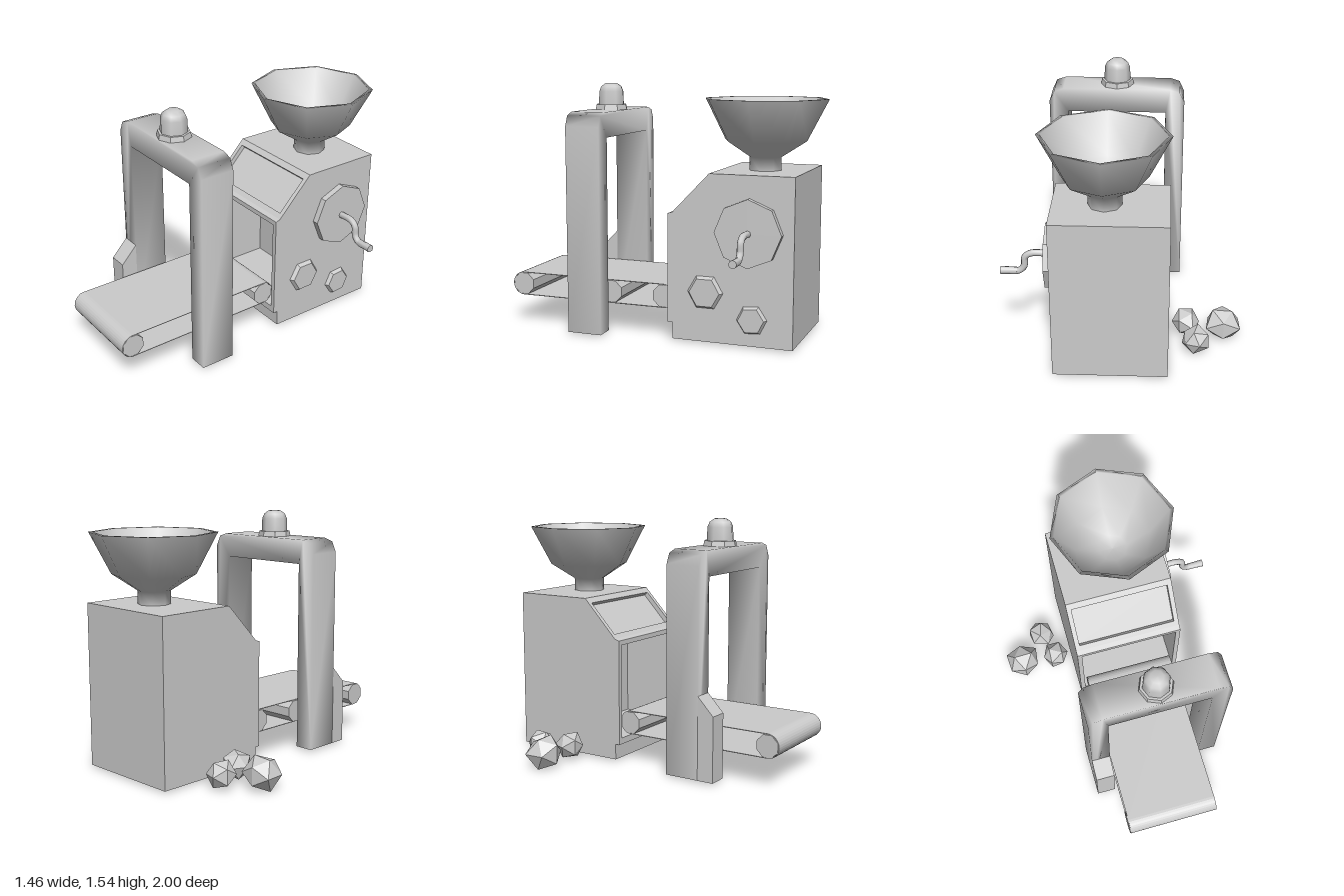
import * as THREE from 'three';
import { mergeVertices } from 'three/addons/utils/BufferGeometryUtils.js';

export function createModel() {
  const model = new THREE.Group();
  const smoothMat = new THREE.MeshStandardMaterial({ color: 0xcccccc, side: THREE.DoubleSide });
  const flatMat = new THREE.MeshStandardMaterial({ color: 0xcccccc, flatShading: true });

  const add = (name, geometry, x = 0, y = 0, z = 0, material = smoothMat) => {
    const mesh = new THREE.Mesh(geometry, material);
    mesh.name = name;
    mesh.position.set(x, y, z);
    model.add(mesh);
    return mesh;
  };
  const shapeOf = (pts) => new THREE.Shape(pts.map(([a, b]) => new THREE.Vector2(a, b)));
  const extrude = (shape, depth) =>
    new THREE.ExtrudeGeometry(shape, { depth, bevelEnabled: false, curveSegments: 8 });
  // Side profile given as [z, y], extruded from x0 to x1
  const sideways = (pts, x0, x1) =>
    extrude(shapeOf(pts.map(([z, y]) => [-z, y])), x1 - x0).rotateY(Math.PI / 2).translate(x0, 0, 0);
  const smooth = (g) => {
    g.deleteAttribute('normal');
    g.deleteAttribute('uv');
    const merged = mergeVertices(g);
    merged.computeVertexNormals();
    return merged;
  };
  const lathe = (pts) => new THREE.LatheGeometry(pts.map(([r, y]) => new THREE.Vector2(r, y)), 8);

  // Machine housing: two cheeks around a core with a deep mouth and a sloped recess
  const top = [[-0.36, 1.04], [-0.88, 1.04], [-0.88, 0.02]];
  const lip = [[-0.13, 0.02], [-0.13, 0.12], [-0.10, 0.12]];
  const cheek = [...lip, [-0.10, 0.79], [-0.13, 0.80], ...top];
  const core = [
    ...lip, [-0.10, 0.16], [-0.50, 0.16], [-0.50, 0.76], [-0.10, 0.76], [-0.10, 0.79], [-0.13, 0.80],
    [-0.154, 0.825], [-0.176, 0.804], [-0.353, 0.989], [-0.331, 1.01], ...top,
  ];
  add('housingCore', sideways(core, -0.25, 0.38));
  add('housingRightCheek', sideways(cheek, -0.28, -0.25));
  add('housingLeftCheek', sideways(cheek, 0.38, 0.41));

  // Funnel with a thin rim and a neck
  add('funnel', lathe([
    [0.10, 1.03], [0.10, 1.12], [0.255, 1.22], [0.385, 1.47], [0.36, 1.47], [0.24, 1.24], [0.09, 1.14], [0, 1.13],
  ]), 0.10, 0, -0.615);

  // Crank wheel, handle and hexagonal bolts on the side
  const sideDisc = (name, rOuter, rInner, depth, sides, y, z, turn) =>
    add(name, new THREE.CylinderGeometry(rOuter, rInner, depth, sides)
      .rotateY(turn).rotateZ(-Math.PI / 2), 0.41 + depth / 2, y, z, flatMat);
  sideDisc('crankWheel', 0.205, 0.205, 0.04, 8, 0.70, -0.61, 0);
  sideDisc('frontBolt', 0.095, 0.112, 0.024, 6, 0.325, -0.34, 0);
  sideDisc('rearBolt', 0.08, 0.094, 0.024, 6, 0.18, -0.63, 0.06);
  const crankPath = new THREE.CatmullRomCurve3([
    [0.43, 0.70], [0.54, 0.70], [0.578, 0.675], [0.588, 0.61], [0.62, 0.578], [0.73, 0.578],
  ].map(([x, y]) => new THREE.Vector3(x, y, -0.61)), false, 'centripetal');
  add('crankHandle', new THREE.TubeGeometry(crankPath, 24, 0.021, 8));
  add('crankEnd', new THREE.CylinderGeometry(0.025, 0.021, 0.1, 8).rotateZ(-Math.PI / 2), 0.68, 0.578, -0.61);

  // Arch over the conveyor, with clipped outer corners
  const arch = shapeOf([
    [-0.36, 0.02], [-0.24, 0.02], [-0.24, 1.23], [0.39, 1.23], [0.39, 0.02], [0.51, 0.02],
    [0.51, 1.30], [0.48, 1.365], [0.42, 1.385], [-0.27, 1.385], [-0.33, 1.365], [-0.36, 1.30],
  ]);
  add('arch', smooth(extrude(arch, 0.22)), 0, 0, 0.305);
  add('archControlBox', sideways([[0.525, 0.02], [0.63, 0.02], [0.63, 0.425], [0.525, 0.535]], -0.36, -0.24));

  // Signal lamp on the arch
  add('lampBase', new THREE.CylinderGeometry(0.10, 0.107, 0.035, 8), 0.075, 1.4, 0.415, flatMat);
  add('lampDome', lathe([[0.085, 1.41], [0.081, 1.50], [0.068, 1.53], [0.04, 1.55], [0, 1.552]]), 0.075, 0, 0.415);

  // Conveyor belt: a thin open-sided loop around its rollers
  const loop = (target, r) => {
    target.absarc(-0.92, 0.264, r, Math.PI * 1.5, Math.PI * 0.5, true);
    target.absarc(0.05, 0.264, r, Math.PI * 0.5, -Math.PI * 0.5, true);
    target.closePath();
    return target;
  };
  const beltShape = loop(new THREE.Shape(), 0.075);
  beltShape.holes.push(loop(new THREE.Path(), 0.071));
  add('conveyorBelt', extrude(beltShape, 0.585).rotateY(Math.PI / 2), -0.228, 0, 0);
  for (const z of [0.92, 0.30, -0.05]) {
    add('conveyorRoller', new THREE.CylinderGeometry(0.074, 0.074, 0.59, 8)
      .rotateY(Math.PI / 8).rotateZ(Math.PI / 2), 0.062, 0.264, z, flatMat);
  }

  // Rough rocks beside the machine
  const rocks = [[-0.625, 0.105, -0.43, 0.115], [-0.45, 0.10, -0.60, 0.092], [-0.39, 0.10, -0.41, 0.092]];
  rocks.forEach(([x, y, z, r], i) => {
    const g = smooth(new THREE.IcosahedronGeometry(r, 0));
    const p = g.attributes.position;
    for (let k = 0; k < p.count; k++) {
      const s = 1 + 0.1 * Math.sin(k * 2.7 + i * 1.9);
      p.setXYZ(k, p.getX(k) * s, p.getY(k) * Math.min(s, 1), p.getZ(k) * s);
    }
    add('rock', g, x, y, z, flatMat).rotation.y = i * 1.3;
  });

  return model;
}
